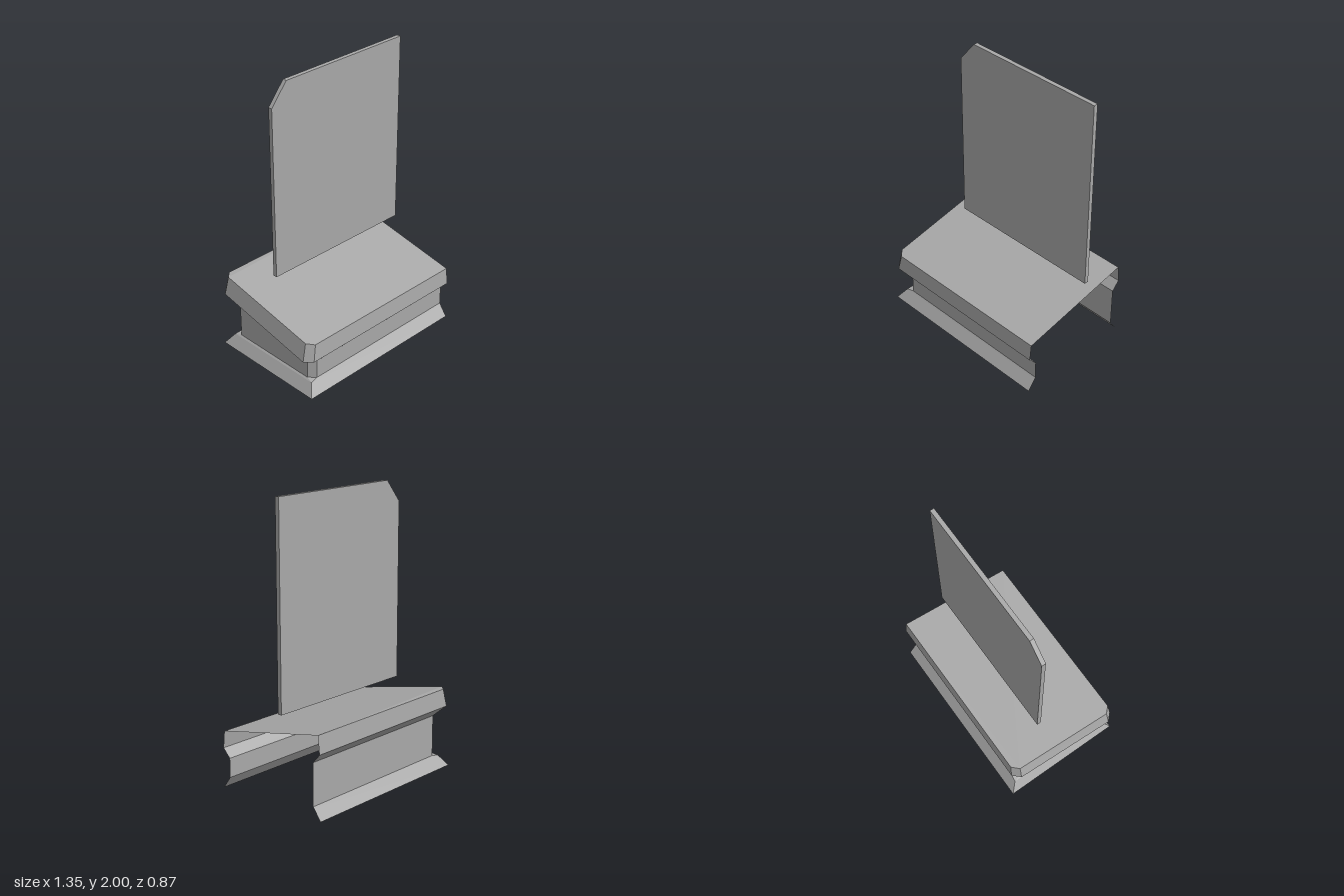
import * as THREE from 'three';

const RIGHT = 0.675; // x of the open end

// U-shaped ring, from the front open end round the chamfered left side to the back
function ring({ zf, yf, zb, yb, x, c, yfc = yf }) {
  return [
    [RIGHT, yf, zf], [x + c, yf, zf], [x, yfc, zf - c],
    [x, yb, zb + c], [x + c, yb, zb], [RIGHT, yb, zb],
  ];
}

function shell(triangles) {
  const geometry = new THREE.BufferGeometry();
  geometry.setAttribute('position', new THREE.Float32BufferAttribute(triangles.flat(2), 3));
  geometry.computeVertexNormals();
  return geometry;
}

// Wall between two or more rings, listed from the bottom up
function wall(...rings) {
  const triangles = [];
  for (let r = 0; r < rings.length - 1; r++) {
    const lower = rings[r], upper = rings[r + 1];
    for (let i = 0; i < lower.length - 1; i++) {
      triangles.push([lower[i], upper[i], upper[i + 1]], [lower[i], upper[i + 1], lower[i + 1]]);
    }
  }
  return shell(triangles);
}

export function createModel() {
  const group = new THREE.Group();
  const grey = new THREE.MeshStandardMaterial({ color: 0xa8a8a8, side: THREE.DoubleSide });
  grey.name = 'grey';

  const add = (name, geometry) => {
    const mesh = new THREE.Mesh(geometry, grey);
    mesh.name = name;
    group.add(mesh);
  };

  // Rings of the open console shell
  const floor = ring({ zf: 0.437, yf: 0, zb: -0.437, yb: 0, x: -0.655, c: 0 });
  const skirtTop = ring({ zf: 0.382, yf: 0.075, zb: -0.382, yb: 0.075, x: -0.602, c: 0 });
  const waistLow = ring({ zf: 0.375, yf: 0.085, zb: -0.375, yb: 0.085, x: -0.59, c: 0.045 });
  const waistHigh = ring({ zf: 0.375, yf: 0.22, zb: -0.375, yb: 0.378, x: -0.59, c: 0.045 });
  const rimLow = ring({ zf: 0.432, yf: 0.28, zb: -0.43, yb: 0.44, x: -0.675, c: 0.05 });
  const rimHigh = ring({ zf: 0.42, yf: 0.4, zb: -0.418, yb: 0.565, x: -0.645, c: 0.045, yfc: 0.409 });

  add('skirt', wall(floor, skirtTop, waistLow));
  add('waist', wall(waistLow, waistHigh));
  add('overhang', wall(waistHigh, rimLow));
  add('rim', wall(rimLow, rimHigh));

  // Sloping top with the folded back corner
  const faces = [[0, 2, 1], [0, 3, 2], [0, 5, 3], [3, 5, 4]];
  add('slopingTop', shell(faces.map((face) => face.map((i) => rimHigh[i]))));

  // Floating screen with one clipped corner
  const outline = new THREE.Shape([
    [-0.475, 0.625], [RIGHT, 0.625], [RIGHT, 2], [-0.35, 2], [-0.475, 1.85],
  ].map(([x, y]) => new THREE.Vector2(x, y)));
  const screen = new THREE.ExtrudeGeometry(outline, { depth: 0.03, bevelEnabled: false });
  screen.translate(0, 0, -0.108);
  add('screen', screen);

  return group;
}
